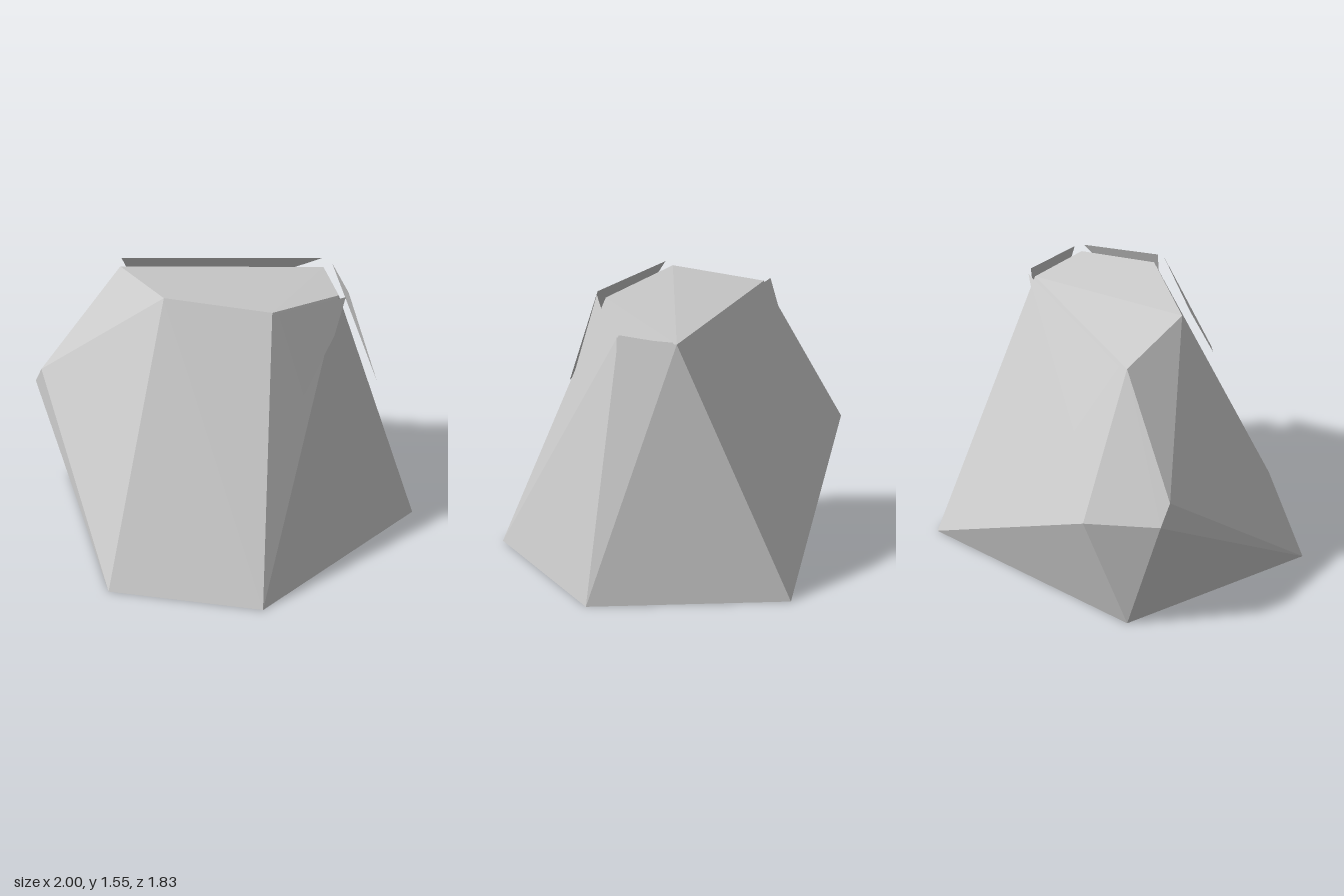
import * as THREE from 'three';
import { ConvexGeometry } from 'three/addons/geometries/ConvexGeometry.js';

const v = ([x, y, z]) => new THREE.Vector3(x, y, z);

// Flat four-cornered flake, corners counter-clockwise from outside
function flake(name, corners, material) {
  const geometry = new THREE.BufferGeometry();
  const order = [0, 1, 2, 0, 2, 3];
  geometry.setFromPoints(order.map(i => v(corners[i])));
  geometry.computeVertexNormals();
  const mesh = new THREE.Mesh(geometry, material);
  mesh.name = name;
  return mesh;
}

export function createModel() {
  const group = new THREE.Group();
  group.name = 'rock';

  const stone = new THREE.MeshStandardMaterial({ color: 0xcccccc, side: THREE.DoubleSide });
  stone.name = 'stone grey';

  // Faceted boulder: wide five-sided foot, chamfered back, sloping crown
  const foot = [[-1, 0, 0], [-0.66, 0, 0.79], [0.58, 0, 0.91], [1, 0, -0.13], [-0.19, 0, -0.84]];
  const back = [[0.04, 0.67, -0.92], [-0.39, 0.69, -0.915], [-0.43, 0.815, -0.85]];
  const crown = [[-0.35, 1.54, -0.09], [-0.09, 1.51, 0.45], [0.34, 1.44, 0.59],
    [0.55, 1.41, 0.34], [-0.13, 1.45, -0.535]];
  const boulder = new THREE.Mesh(new ConvexGeometry([...foot, ...back, ...crown].map(v)), stone);
  boulder.name = 'boulder';
  group.add(boulder);

  // Thin flakes standing just off the upper slopes
  const flakes = {
    frontFlake: [[-0.1, 1.53, 0.5], [-0.09, 1.05, 0.66], [0.2, 1.28, 0.66], [0.335, 1.45, 0.64]],
    cornerFlake: [[0.385, 1.445, 0.625], [0.545, 0.8, 0.7], [0.585, 1.15, 0.5], [0.58, 1.435, 0.375]],
    leftFlake: [[0.58, 1.44, 0.31], [0.465, 1.27, 0.02], [0.155, 1.04, -0.58], [-0.09, 1.475, -0.555]],
    rightFlake: [[-0.39, 1.555, -0.065], [-0.47, 1.15, 0.175], [-0.395, 0.96, 0.515], [-0.14, 1.535, 0.475]],
  };
  for (const [name, corners] of Object.entries(flakes)) group.add(flake(name, corners, stone));

  return group;
}
